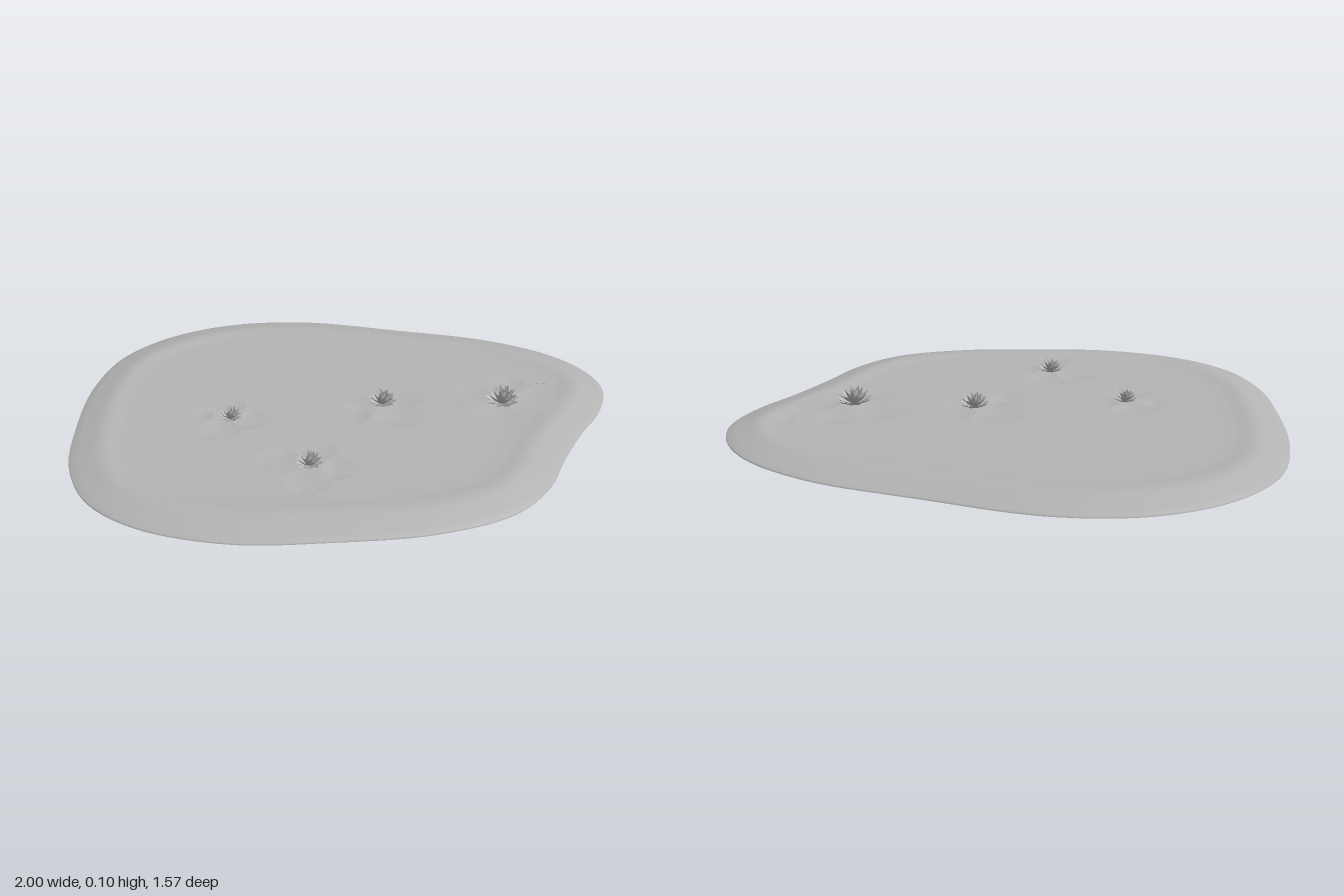
import * as THREE from 'three';

const stone = new THREE.MeshStandardMaterial({ color: 0xb3b3b3, side: THREE.DoubleSide });
stone.name = 'plain grey';

const WATER = 0.03;

// shoreline as x, z pairs
const SHORE = [
  [-0.24, -0.785], [0.19, -0.735], [0.57, -0.67], [0.83, -0.55], [0.96, -0.41], [1.0, -0.28],
  [0.96, -0.11], [0.88, 0.04], [0.8, 0.22], [0.73, 0.4], [0.6, 0.56], [0.35, 0.68],
  [0.03, 0.745], [-0.3, 0.78], [-0.61, 0.725], [-0.81, 0.6], [-0.93, 0.4], [-0.98, 0.16],
  [-1.0, -0.13], [-0.95, -0.39], [-0.8, -0.59], [-0.56, -0.73],
];

// each clump: flower x, z, flower radius, then pads as x, z, radius
const CLUMPS = [
  { flower: [0.14, -0.05, 0.062], pads: [[0.04, -0.1, 0.095], [0.21, -0.12, 0.09], [0.035, 0.04, 0.068], [0.21, 0.04, 0.09]] },
  { flower: [0.59, -0.09, 0.074], pads: [[0.47, -0.125, 0.105], [0.615, -0.23, 0.076], [0.725, -0.11, 0.09], [0.57, 0.025, 0.1]] },
  { flower: [-0.41, 0.1, 0.05], pads: [[-0.445, 0.005, 0.075], [-0.53, 0.09, 0.053], [-0.33, 0.105, 0.07], [-0.437, 0.195, 0.076]] },
  { flower: [-0.09, 0.38, 0.056], pads: [[-0.08, 0.275, 0.083], [-0.2, 0.365, 0.083], [0.015, 0.4, 0.062], [-0.08, 0.487, 0.08]] },
];

// rings following the shoreline; profile holds [inset, height], inset null is the centre
function shoreSurface(profile) {
  const n = 160, pos = [], idx = [];
  const curve = new THREE.CatmullRomCurve3(SHORE.map(([x, z]) => new THREE.Vector3(x, 0, z)), true);
  for (const [inset, y] of profile) {
    for (let j = 0; j < n; j++) {
      const p = curve.getPointAt(j / n), t = curve.getTangentAt(j / n);
      if (inset === null) pos.push(-0.05, y, 0);
      else pos.push(p.x - t.z * inset, y, p.z + t.x * inset);
    }
  }
  for (let i = 0; i < profile.length - 1; i++) {
    for (let j = 0; j < n; j++) {
      const a = i * n + j, b = i * n + (j + 1) % n;
      idx.push(a, a + n, b, b, a + n, b + n);
    }
  }
  const g = new THREE.BufferGeometry();
  g.setAttribute('position', new THREE.Float32BufferAttribute(pos, 3));
  g.setIndex(idx);
  g.computeVertexNormals();
  return g;
}

// notched round leaf with a gently raised, wavy rim
function padGeometry(radius, phase) {
  const notch = 0.22;
  const g = new THREE.RingGeometry(0.002, radius, 36, 4, notch / 2, Math.PI * 2 - notch);
  g.rotateX(-Math.PI / 2);
  const p = g.attributes.position;
  for (let i = 0; i < p.count; i++) {
    const r = Math.hypot(p.getX(i), p.getZ(i)) / radius, a = Math.atan2(p.getZ(i), p.getX(i));
    p.setY(i, r * r * (0.004 + 0.002 * Math.sin(3 * a + phase)));
  }
  g.computeVertexNormals();
  return g;
}

// pointed cupped petal running along +x, bending upward from the given pitch
function petalGeometry(length, width, pitch) {
  const g = new THREE.PlaneGeometry(1, 1, 6, 4);
  g.rotateX(-Math.PI / 2);
  const p = g.attributes.position;
  for (let i = 0; i < p.count; i++) {
    const v = p.getX(i) + 0.5, side = p.getZ(i) * 2;
    const half = width * 0.5 * (Math.sin(Math.PI * Math.pow(v, 0.8)) + 0.25 * (1 - v));
    const angle = pitch + 0.25 * v;
    const cup = side * side * half * 0.5;
    p.setXYZ(i,
      length * v * Math.cos(angle) - cup * Math.sin(angle),
      length * v * Math.sin(angle) + cup * Math.cos(angle),
      side * half);
  }
  g.computeVertexNormals();
  return g;
}

function createFlower(radius) {
  const flower = new THREE.Group();
  flower.name = 'waterLily';
  // petal rows: count, length, width, pitch
  const rows = [[9, 1.0, 0.42, 0.12], [8, 1.02, 0.4, 0.48], [7, 1.0, 0.36, 0.8], [5, 0.85, 0.3, 1.12]];
  rows.forEach(([count, length, width, pitch], k) => {
    const geo = petalGeometry(length * radius, width * radius, pitch);
    for (let i = 0; i < count; i++) {
      const petal = new THREE.Mesh(geo, stone);
      petal.name = 'petal';
      petal.rotation.y = (i + k * 0.5) / count * Math.PI * 2;
      flower.add(petal);
    }
  });
  const heart = new THREE.Mesh(new THREE.SphereGeometry(radius * 0.18, 10, 6), stone);
  heart.name = 'flowerHeart';
  heart.position.y = radius * 0.2;
  flower.add(heart);
  return flower;
}

export function createModel() {
  const model = new THREE.Group();
  model.name = 'lilyPond';

  // bank rising from the shore, rounded crest, then the water
  const top = new THREE.Mesh(shoreSurface([
    [0, 0], [0.002, 0.006], [0.03, 0.014], [0.06, 0.023], [0.09, 0.032], [0.11, 0.036], [0.13, 0.037],
    [0.15, 0.035], [0.17, 0.032], [0.19, 0.0305], [0.22, WATER], [0.25, WATER], [null, WATER]]), stone);
  top.name = 'bankAndWater';
  // hollow underside
  const under = new THREE.Mesh(shoreSurface([
    [null, 0.022], [0.22, 0.022], [0.19, 0.0225], [0.16, 0.025], [0.13, 0.029], [0.1, 0.026],
    [0.06, 0.015], [0.03, 0.006], [0, 0]]), stone);
  under.name = 'underside';
  model.add(top, under);

  CLUMPS.forEach(({ flower: [fx, fz, fr], pads }, c) => {
    const clump = new THREE.Group();
    clump.name = 'lilyClump';
    pads.forEach(([x, z, r], i) => {
      const pad = new THREE.Mesh(padGeometry(r, i * 1.7 + c), stone);
      pad.name = 'lilyPad';
      pad.position.set(x, WATER + 0.003 + i * 0.002, z);
      pad.rotation.y = Math.atan2(-(z - fz), x - fx) + 0.4 * (i % 2 ? 1 : -1);
      clump.add(pad);
    });
    const lily = createFlower(fr);
    lily.position.set(fx, WATER + 0.008, fz);
    lily.rotation.y = c * 0.9;
    clump.add(lily);
    model.add(clump);
  });
  return model;
}
